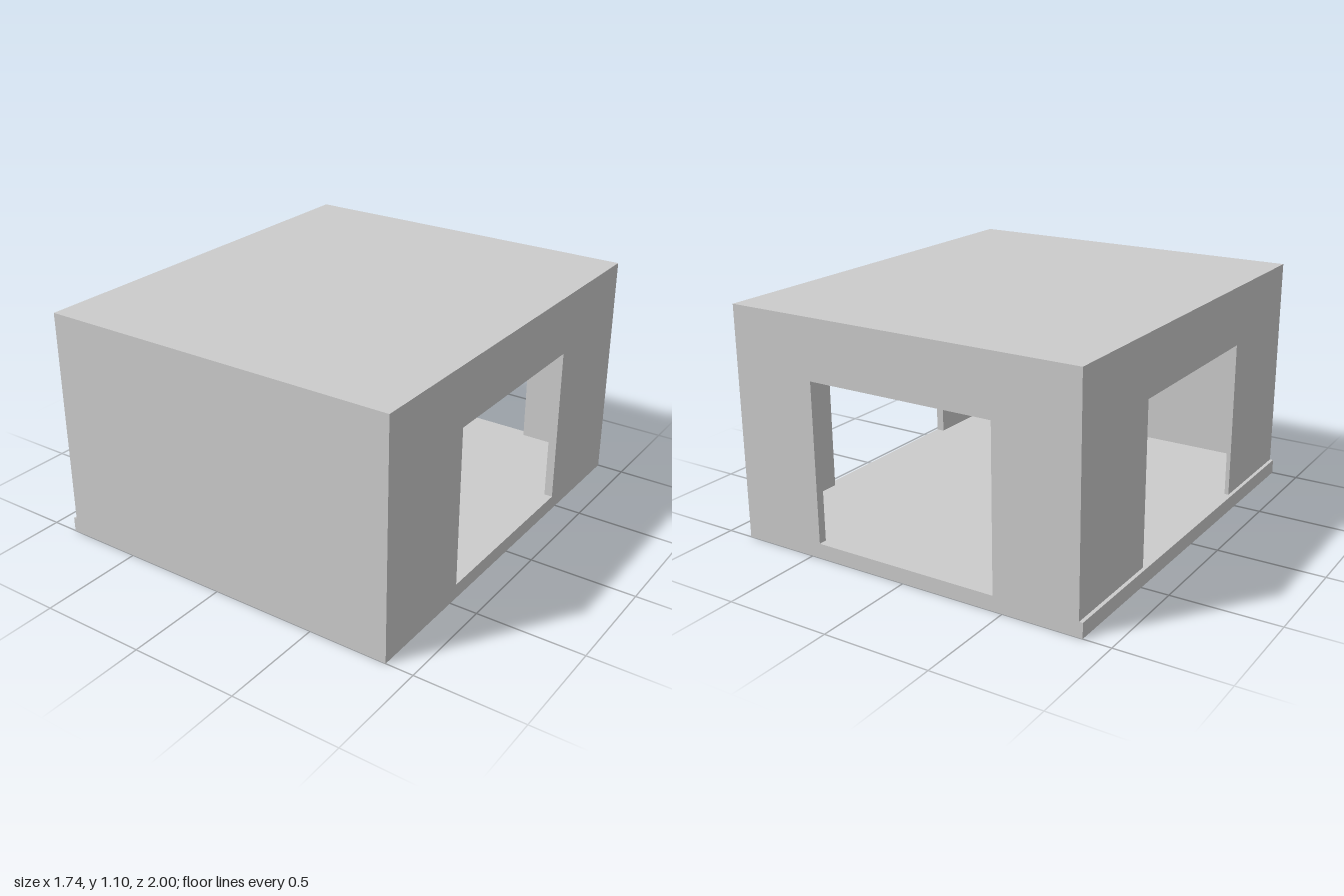
import * as THREE from 'three';

const X0 = -0.855, X1 = 0.872;   // outer faces of the side walls
const SLAB = 0.07, TOP = 1.1;    // slab thickness, overall height
const DOOR_HALF = 0.455, DOOR_TOP = 0.82;
const THICK = 0.04, THIN = 0.02; // wall thicknesses

const material = new THREE.MeshStandardMaterial({ color: 0xcccccc, flatShading: true });

function add(group, name, geometry) {
  const mesh = new THREE.Mesh(geometry, material);
  mesh.name = name;
  group.add(mesh);
  return mesh;
}

// Horizontal slab spanning x0..x1 over the full depth
function slab(group, name, x0, x1, y) {
  const mesh = add(group, name, new THREE.BoxGeometry(x1 - x0, SLAB, 2));
  mesh.position.set((x0 + x1) / 2, y + SLAB / 2, 0);
}

// Upright wall between the slabs from a to b, with an optional doorway down to the floor
function wallGeometry(a, b, thickness, doorway) {
  const low = SLAB, high = TOP - SLAB;
  const points = [[a, low]];
  if (doorway) {
    points.push([-DOOR_HALF, low], [-DOOR_HALF, DOOR_TOP], [DOOR_HALF, DOOR_TOP], [DOOR_HALF, low]);
  }
  points.push([b, low], [b, high], [a, high]);
  const shape = new THREE.Shape(points.map(([u, v]) => new THREE.Vector2(u, v)));
  return new THREE.ExtrudeGeometry(shape, { depth: thickness, bevelEnabled: false });
}

export function createModel() {
  const group = new THREE.Group();
  group.name = 'room';

  // Floor projects past the right wall as a low ledge
  slab(group, 'floor', -X1, X1, 0);
  slab(group, 'roof', X0, X1, TOP - SLAB);

  // Side walls with doorways
  add(group, 'leftWall', wallGeometry(-1, 1, THICK, true).rotateY(Math.PI / 2))
    .position.x = X1 - THICK;
  add(group, 'rightWall', wallGeometry(-1, 1, THIN, true).rotateY(Math.PI / 2))
    .position.x = X0;

  // Front wall is solid, back wall has a doorway
  add(group, 'frontWall', wallGeometry(X0 + THIN, X1 - THICK, THICK, false))
    .position.z = 1 - THICK;
  add(group, 'backWall', wallGeometry(X0 + THIN, X1 - THICK, THICK, true))
    .position.z = -1;

  return group;
}
